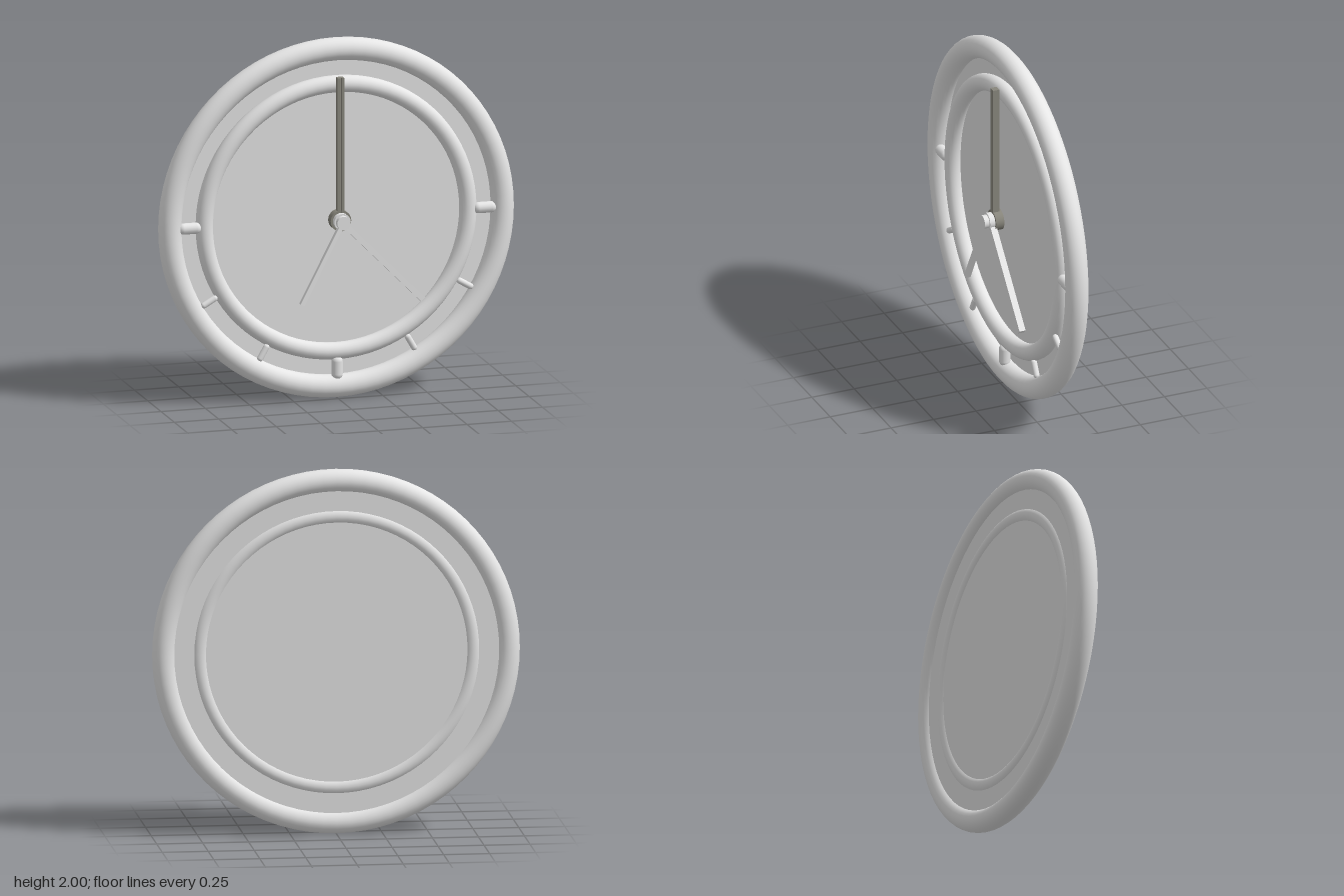
import * as THREE from 'three';

export function createModel() {
  const silver = new THREE.MeshStandardMaterial({ color: 0xe5e5e5 });
  silver.name = 'silver';
  const darkMetal = new THREE.MeshStandardMaterial({ color: 0x88867c });
  darkMetal.name = 'dark metal';

  // everything is laid out around the dial centre
  const clock = new THREE.Group();
  clock.name = 'wallClock';
  clock.position.y = 1;

  function add(name, geometry, material, parent = clock) {
    const mesh = new THREE.Mesh(geometry, material);
    mesh.name = name;
    parent.add(mesh);
    return mesh;
  }

  // cylinder whose axis runs along z, from z0 to z1
  function disc(name, radius, z0, z1, material, sides = 40) {
    const geometry = new THREE.CylinderGeometry(radius, radius, z1 - z0, sides);
    geometry.rotateX(Math.PI / 2);
    geometry.translate(0, 0, (z0 + z1) / 2);
    return add(name, geometry, material);
  }

  // rims and back plate
  add('outerRim', new THREE.TorusGeometry(0.937, 0.063, 24, 80), silver).position.z = -0.046;
  add('innerRim', new THREE.TorusGeometry(0.743, 0.047, 20, 80), silver).position.z = -0.045;
  disc('backPlate', 0.93, -0.079, -0.071, silver, 80);

  // hour markers around the lower half, thicker at the quarters
  for (let i = 0; i <= 6; i++) {
    const quarter = i % 3 === 0;
    const angle = Math.PI + i * Math.PI / 6;
    const radius = quarter ? 0.031 : 0.017;
    const marker = add(quarter ? 'quarterMarker' : 'hourMarker',
      new THREE.CapsuleGeometry(radius, 0.07, 6, 16), silver);
    const r = 0.832;
    marker.position.set(r * Math.cos(angle), r * Math.sin(angle), -0.026);
    marker.rotation.z = angle - Math.PI / 2;
  }

  // stepped hub, held clear of the plate
  disc('hubBase', 0.058, 0, 0.048, darkMetal);
  disc('hubCollar', 0.046, 0.04, 0.078, silver);
  disc('hubCap', 0.037, 0.07, 0.105, silver);

  // upright dark hand with a fine groove along its front
  const section = new THREE.Shape([
    [-0.019, 0.013], [0.019, 0.013], [0.019, 0.05], [0.004, 0.05],
    [0, 0.045], [-0.004, 0.05], [-0.019, 0.05],
  ].map(([x, z]) => new THREE.Vector2(x, -z)));
  const upright = new THREE.ExtrudeGeometry(section, { depth: 0.775, bevelEnabled: false });
  upright.rotateX(-Math.PI / 2);
  upright.translate(0, 0.02, 0);
  add('uprightHand', upright, darkMetal);

  // slim hands, leaning slightly forward towards the tip
  function hand(name, from, to, width, depth) {
    const start = new THREE.Vector3(...from);
    const end = new THREE.Vector3(...to);
    const pivot = new THREE.Group();
    pivot.name = name;
    pivot.position.copy(start);
    pivot.up.set(0, 0, 1);
    pivot.lookAt(end);
    clock.add(pivot);
    const length = start.distanceTo(end);
    add(name + 'Bar', new THREE.BoxGeometry(width, depth, length), silver, pivot)
      .position.z = length / 2;
  }
  hand('longHand', [0, 0, 0.056], [0.453, -0.46, 0.069], 0.032, 0.036);
  hand('shortHand', [0, 0, 0.083], [-0.234, -0.44, 0.092], 0.024, 0.028);

  const model = new THREE.Group();
  model.name = 'model';
  model.add(clock);
  return model;
}
